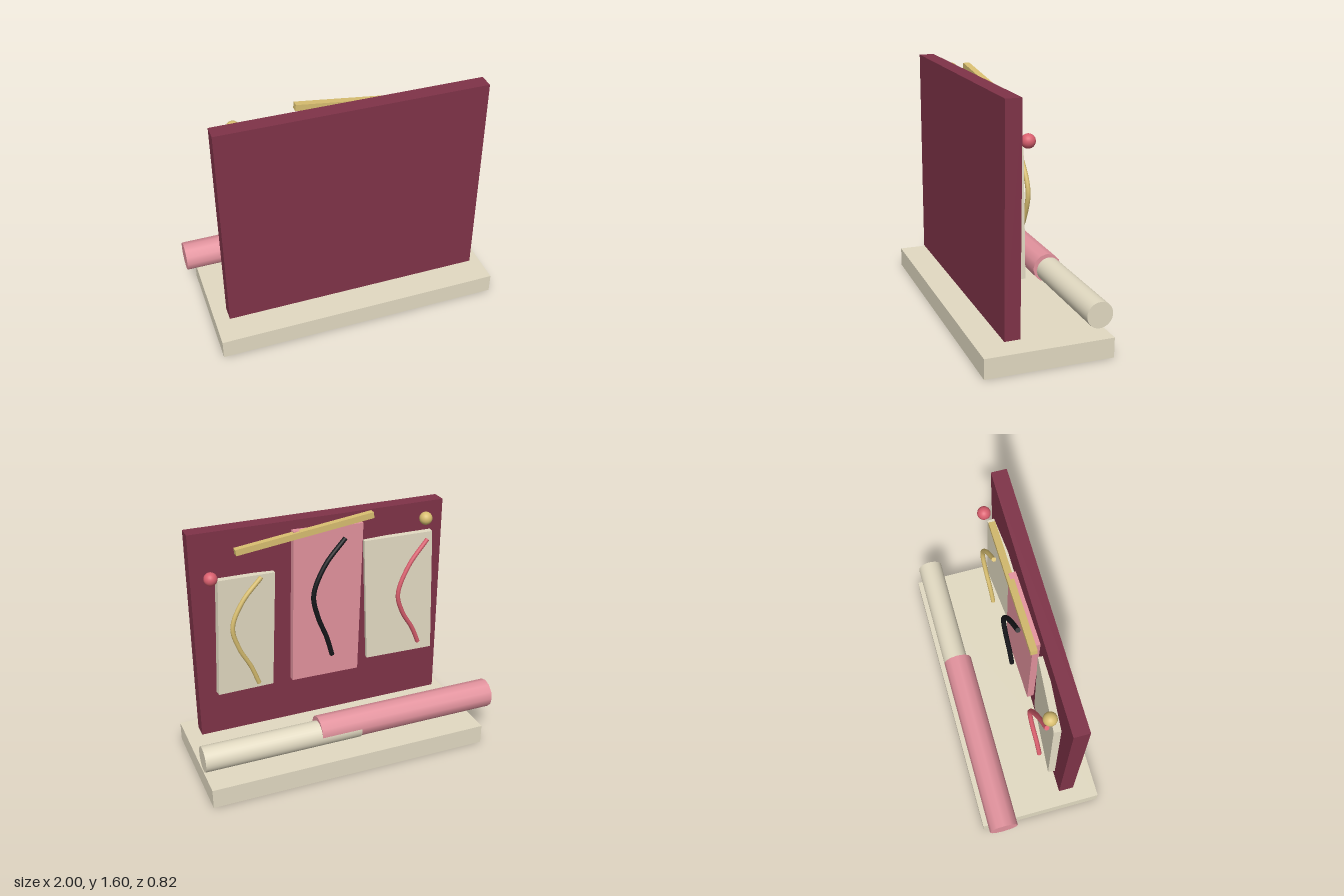
import * as THREE from 'three';

const COLORS = {
  cream: 0xe2dac2, wine: 0x7f3348, pink: 0xe3939e,
  gold: 0xd8be70, red: 0xd95f6e, black: 0x17171b,
};

export function createModel() {
  const model = new THREE.Group();
  model.name = 'reliefDisplay';
  const mats = {};
  for (const [name, color] of Object.entries(COLORS)) {
    mats[name] = new THREE.MeshStandardMaterial({ color });
  }

  function add(name, geometry, color, position = [0, 0, 0], rotation = [0, 0, 0]) {
    const mesh = new THREE.Mesh(geometry, mats[color]);
    mesh.name = name;
    mesh.position.set(...position);
    mesh.rotation.set(...rotation);
    model.add(mesh);
    return mesh;
  }
  const box = (name, size, color, position, rotation) =>
    add(name, new THREE.BoxGeometry(...size), color, position, rotation);

  // Horizontal roll between two x positions
  function roll(name, x0, x1, radius, sides, color, y, z) {
    const geometry = new THREE.CylinderGeometry(radius, radius, x1 - x0, sides);
    add(name, geometry, color, [(x0 + x1) / 2, y, z], [0, 0, Math.PI / 2]);
  }

  // Bowed strand: starts at the top, swings out to the bulge, returns to the bottom
  function strand(name, color, radius, top, bulge, bottom) {
    const a = new THREE.Vector3(...top);
    const b = new THREE.Vector3(...bulge);
    const c = new THREE.Vector3(...bottom);
    const between = (p, q, fx, fy) => new THREE.Vector3(
      THREE.MathUtils.lerp(p.x, q.x, fx),
      THREE.MathUtils.lerp(p.y, q.y, fy),
      THREE.MathUtils.lerp(p.z, q.z, fx));
    const curve = new THREE.CatmullRomCurve3([
      a, between(a, b, 0.64, 0.46), b, between(b, c, 0.22, 0.35), between(b, c, 0.7, 0.7), c,
    ]);
    add(name, new THREE.TubeGeometry(curve, 40, radius, 10), color);
    // Flat end caps
    for (const [t, sign] of [[0, -1], [1, 1]]) {
      const cap = add(name + 'Cap', new THREE.CircleGeometry(radius, 10), color);
      cap.position.copy(curve.getPointAt(t));
      cap.lookAt(cap.position.clone().addScaledVector(curve.getTangentAt(t), sign));
    }
  }

  // Base slab and upright board
  box('base', [1.9, 0.13, 0.82], 'cream', [0.03, 0.065, 0]);
  box('backboard', [1.72, 1.42, 0.1], 'wine', [0.03, 0.88, 0.205]);

  // Three slightly tilted panels on the rear of the board
  box('leftPanel', [0.385, 0.8, 0.045], 'cream', [0.565, 0.885, 0.125], [0, 0.1, 0.05]);
  box('centrePanel', [0.475, 1.05, 0.045], 'pink', [0.015, 1.01, 0.113], [0, 0.03, 0.03]);
  box('rightPanel', [0.47, 0.865, 0.045], 'cream', [-0.51, 0.965, 0.125], [0, -0.09, -0.035]);

  // Sloping bar across the panels
  box('topBar', [0.92, 0.04, 0.042], 'gold', [0.16, 1.525, 0.086], [0, 0, -0.125]);

  // Round knobs
  const knob = new THREE.SphereGeometry(0.043, 24, 16);
  add('leftKnob', knob, 'red', [0.78, 1.32, 0.076]);
  add('rightKnob', knob, 'gold', [-0.67, 1.505, 0.074]);

  // Curved strands, one for each panel
  strand('leftStrand', 'gold', 0.015, [0.465, 1.29, 0.055], [0.672, 0.99, 0.03], [0.51, 0.545, 0.053]);
  strand('centreStrand', 'black', 0.016, [-0.095, 1.465, 0.05], [0.132, 1.12, 0.025], [0.0, 0.652, 0.045]);
  strand('rightStrand', 'red', 0.015, [-0.68, 1.365, 0.058], [-0.465, 1.02, 0.028], [-0.64, 0.618, 0.052]);

  // Two overlapping rolls lying behind the board
  roll('pinkRoll', -1, 0.235, 0.096, 12, 'pink', 0.313, -0.286);
  roll('creamRoll', -0.04, 1, 0.083, 32, 'cream', 0.3, -0.299);

  return model;
}
